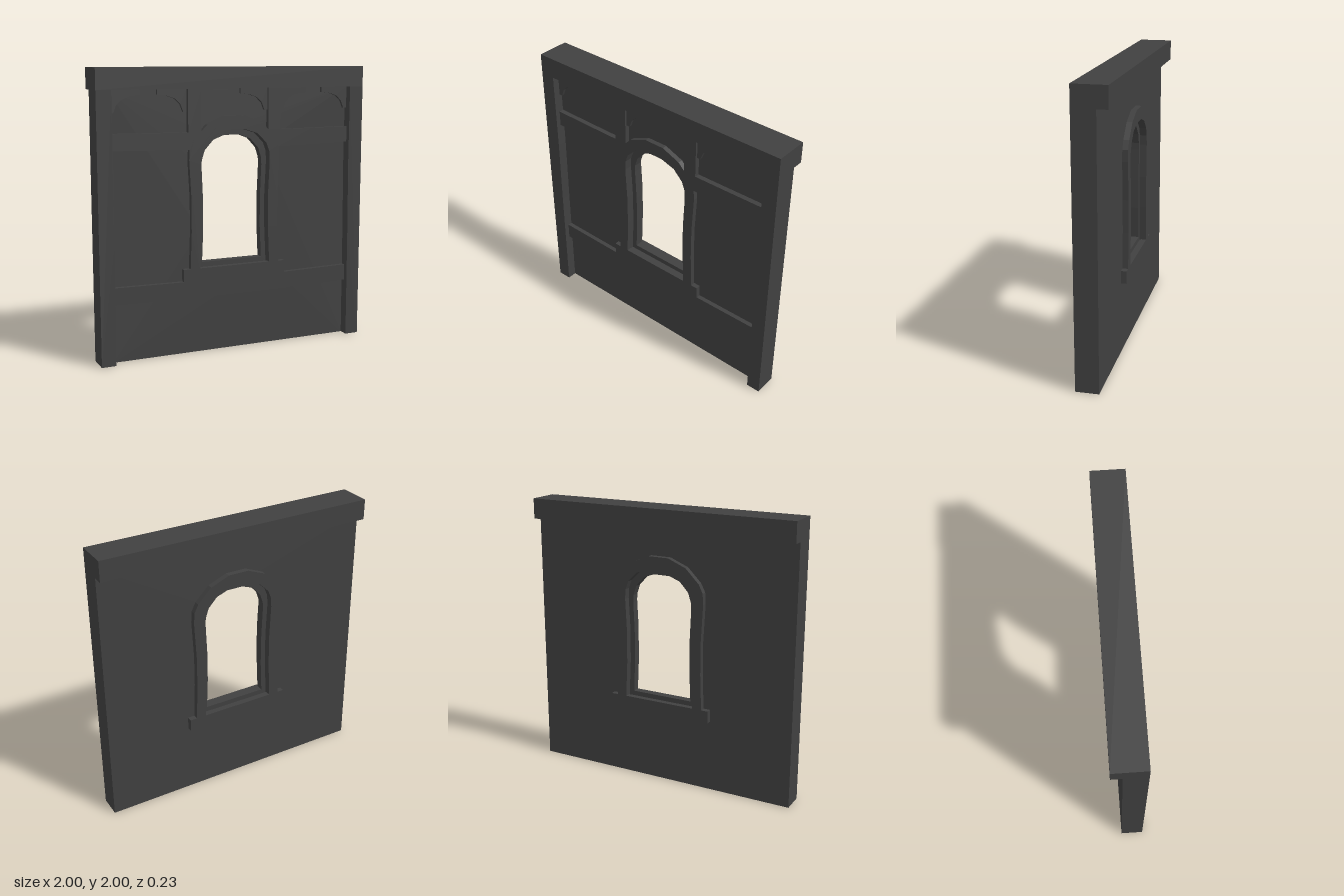
import * as THREE from 'three';

const material = new THREE.MeshStandardMaterial({ color: 0x404040 });

// Depth layers of the wall
const BACK = -0.04, PANEL = 0.05, TIMBER = 0.085, FRONT = 0.12;

const toVectors = (pts) => pts.map(([x, y]) => new THREE.Vector2(x, y));

// Right half of an outline, bottom to top, mirrored into a full outline
const mirrored = (half) => [...half, ...half.map(([x, y]) => [-x, y]).reverse()];

const flipped = (pts) => pts.map(([x, y]) => [-x, y]);

// Half profiles of the bowed, round-headed window
const opening = mirrored([[0.23, 0.64], [0.22, 0.87], [0.22, 1.08], [0.23, 1.31], [0.228, 1.36],
  [0.205, 1.43], [0.14, 1.5], [0.06, 1.53]]);
const reveal = mirrored([[0.268, 0.605], [0.256, 0.87], [0.255, 1.1], [0.267, 1.34], [0.263, 1.41],
  [0.24, 1.47], [0.17, 1.54], [0.065, 1.573]]);
const surround = mirrored([[0.34, 0.605], [0.33, 0.87], [0.33, 1.1], [0.345, 1.37], [0.34, 1.45],
  [0.31, 1.51], [0.21, 1.61], [0.075, 1.665]]);

export function createModel() {
  const model = new THREE.Group();

  // Extrudes an outline between two depths
  function slab(name, pts, z0, z1, hole) {
    const shape = new THREE.Shape(toVectors(pts));
    if (hole) shape.holes.push(new THREE.Path(toVectors(hole)));
    const geometry = new THREE.ExtrudeGeometry(shape, { depth: z1 - z0, bevelEnabled: false });
    geometry.translate(0, 0, z0);
    const mesh = new THREE.Mesh(geometry, material);
    mesh.name = name;
    model.add(mesh);
  }

  const rect = (x0, y0, x1, y1) => [[x0, y0], [x1, y0], [x1, y1], [x0, y1]];

  // Plaster wall and top beam
  slab('wallPanel', rect(-0.9, 0, 0.9, 1.855), BACK, PANEL, reveal);
  slab('topBeam', rect(-1, 1.855, 1, 2), -0.115, FRONT);

  // Outer posts and upper rails, one per side
  const post = [[0.9, 0], [1, 0], [1, 1.855], [0.895, 1.855], [0.892, 1.3], [0.897, 0.8]];
  const upperRail = [[0.337, 1.443], [0.6, 1.447], [0.895, 1.455], [0.895, 1.567], [0.6, 1.563], [0.25, 1.56]];
  for (const [side, turn] of [['left', (p) => p], ['right', flipped]]) {
    slab(side + 'Post', turn(post), BACK, FRONT);
    slab(side + 'UpperRail', turn(upperRail), PANEL, TIMBER);
    slab(side + 'Stud', turn(rect(0.255, 1.56, 0.35, 1.855)), PANEL, TIMBER);
  }

  // Lower rail, sagging slightly at the middle
  slab('lowerRail', [[-0.9, 0.413], [-0.4, 0.403], [0.4, 0.403], [0.9, 0.413],
    [0.9, 0.53], [0.4, 0.522], [-0.4, 0.522], [-0.9, 0.53]], PANEL, TIMBER - 0.003);

  // Curved brackets in the three upper bays
  const bays = [[-0.895, -0.355], [-0.255, 0.255], [0.35, 0.895]];
  const curve = [[0, 1.7], [0.025, 1.7], [0.045, 1.752], [0.085, 1.79], [0.14, 1.81],
    [0.21, 1.818], [0.21, 1.84], [0.21, 1.855], [0, 1.855]];
  for (const [x0, x1] of bays) {
    slab('bracket', curve.map(([x, y]) => [x0 + x, y]), PANEL, 0.07);
    slab('bracket', curve.map(([x, y]) => [x1 - x, y]), PANEL, 0.07);
  }

  // Window surround and sill on both faces
  const arch = [...surround, ...[...reveal].reverse()];
  const sill = rect(-0.39, 0.52, 0.39, 0.61);
  for (const [face, z0, z1] of [['front', PANEL, TIMBER], ['back', -0.08, BACK]]) {
    slab(face + 'WindowSurround', arch, z0, z1);
    slab(face + 'WindowSill', sill, z0, z1);
  }

  // Thin inner window frame set inside the reveal
  slab('windowFrame', reveal, -0.03, 0.025, opening);

  return model;
}
